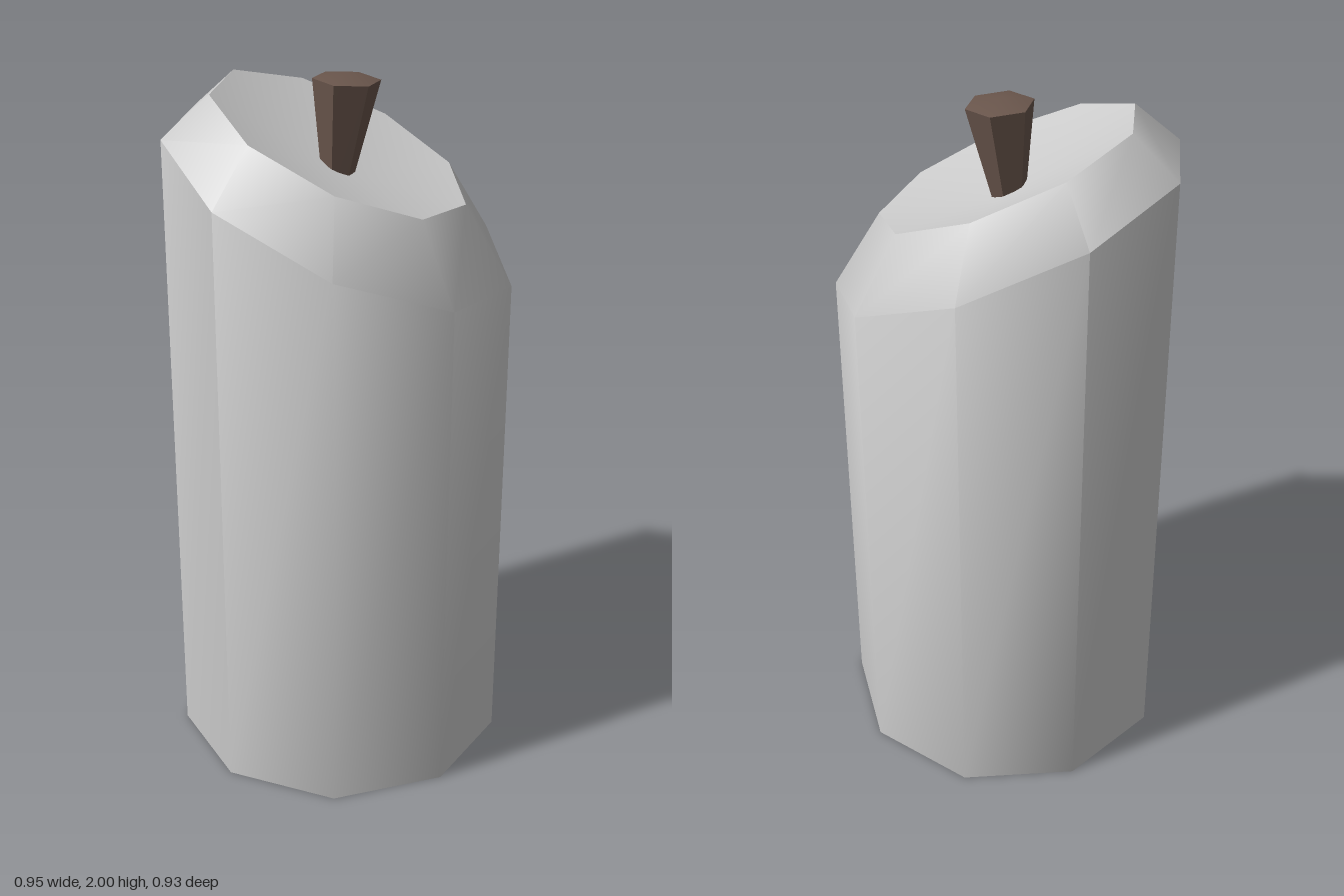
import * as THREE from 'three';
import { toCreasedNormals } from 'three/addons/utils/BufferGeometryUtils.js';

const CENTRE_Z = 0.0125;

// Skin a stack of polygon rings, closing each end with a fan to a centre point.
// Each ring: { r, x, y, slope }, where slope tilts the ring along x.
function loft(sides, rings, bottomY, topY) {
  const pos = [];
  const index = [];
  for (const { r, x = 0, y, slope = 0 } of rings) {
    for (let k = 0; k < sides; k++) {
      const a = Math.PI + (k / sides) * Math.PI * 2;
      const dx = r * Math.sin(a);
      pos.push(x + dx, y + slope * dx, CENTRE_Z + r * Math.cos(a));
    }
  }
  const first = rings[0];
  const last = rings[rings.length - 1];
  const bottom = pos.length / 3;
  const top = bottom + 1;
  pos.push(first.x ?? 0, bottomY, CENTRE_Z, last.x ?? 0, topY, CENTRE_Z);

  const lastStart = (rings.length - 1) * sides;
  for (let k = 0; k < sides; k++) {
    const n = (k + 1) % sides;
    for (let j = 0; j < rings.length - 1; j++) {
      const a = j * sides + k, b = j * sides + n;
      index.push(a, b, b + sides, a, b + sides, a + sides);
    }
    index.push(bottom, n, k, top, lastStart + k, lastStart + n);
  }
  const geo = new THREE.BufferGeometry();
  geo.setAttribute('position', new THREE.Float32BufferAttribute(pos, 3));
  geo.setIndex(index);
  return toCreasedNormals(geo, THREE.MathUtils.degToRad(45));
}

function part(name, geometry, color) {
  const mesh = new THREE.Mesh(geometry, new THREE.MeshStandardMaterial({ color }));
  mesh.name = name;
  return mesh;
}

export function createModel() {
  const group = new THREE.Group();
  group.name = 'candle';

  // Nine-sided wax body with slanted shoulder, bevel and a shallow melted hollow
  group.add(part('waxBody', loft(9, [
    { r: 0.482, y: 0 },
    { r: 0.482, y: 1.643, slope: -0.447 },
    { r: 0.349, y: 1.81, slope: -0.453 },
  ], 0, 1.73), 0xcccccc));

  // Six-sided wick, flaring and leaning slightly, with a low domed tip
  group.add(part('wick', loft(6, [
    { r: 0.037, x: -0.01, y: 1.67 },
    { r: 0.093, x: 0.02, y: 1.98, slope: -0.06 },
  ], 1.67, 2), 0x6a564c));

  return group;
}
